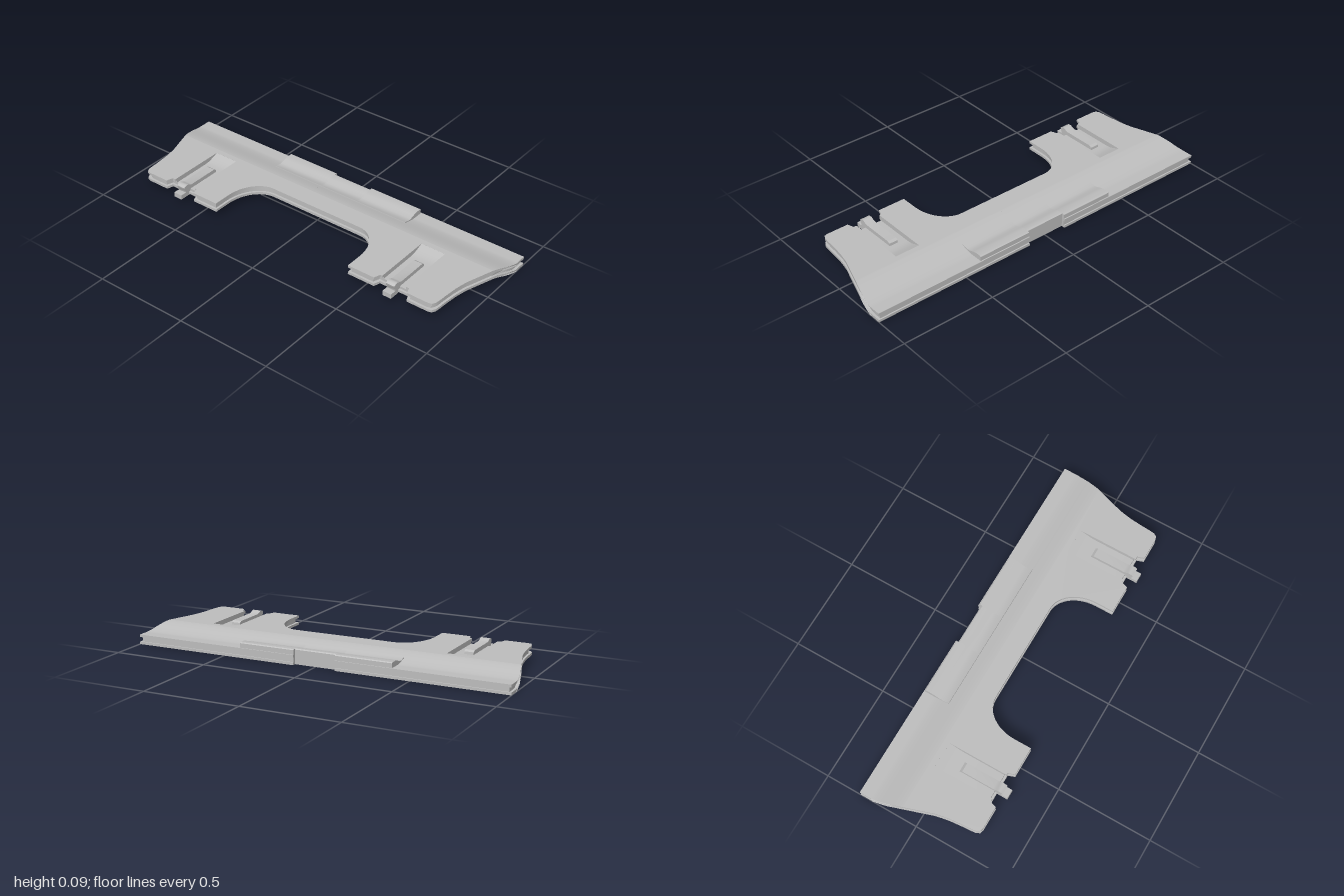
import * as THREE from 'three';
import { toCreasedNormals } from 'three/addons/utils/BufferGeometryUtils.js';

const grey = new THREE.MeshStandardMaterial({ color: 0xbebebe });
grey.name = 'light grey';

const SEAM = -0.09, FRONT = 0.293, BACK = -0.312, LIFT = 0.034;

// Outer side edge: half width at depth z
const edge = [[-0.32, 1], [-0.24, 1], [-0.17, 0.988], [-0.1, 0.969], [0, 0.936], [0.06, 0.916], [0.12, 0.904], [0.2, 0.896], [0.27, 0.892]];
function halfWidth(z) {
  for (let i = 1; i < edge.length; i++) {
    const [z0, x0] = edge[i - 1], [z1, x1] = edge[i];
    if (z <= z1) return x0 + (x1 - x0) * (z - z0) / (z1 - z0);
  }
  return edge[edge.length - 1][1];
}

// Height of the underside: flat in front, stepping down to the back
function rise(z) {
  const t = THREE.MathUtils.clamp((z + 0.245) / 0.155, 0, 1);
  return LIFT * (0.55 * t * t * (3 - 2 * t) + 0.45 * t);
}

function mesh(geometry, name) {
  const m = new THREE.Mesh(toCreasedNormals(geometry, 0.55), grey);
  m.name = name;
  return m;
}

// Side profile of [z, y] points, swept across x from xa(z) to xb(z)
function sweep(points, xa, xb, name) {
  const shape = new THREE.Shape(points.map(([z, y]) => new THREE.Vector2(-z, y)));
  const g = new THREE.ExtrudeGeometry(shape, { depth: 1, bevelEnabled: false });
  const p = g.attributes.position;
  for (let i = 0; i < p.count; i++) {
    const z = -p.getX(i), y = p.getY(i), w = p.getZ(i);
    p.setXYZ(i, xa(z) + (xb(z) - xa(z)) * w, y, z);
  }
  return mesh(g, name);
}
const bar = (points, x0, x1, name) => sweep(points, () => x0, () => x1, name);

// Flat front part of one layer, with arch, latch notches and optional channels
function frontSlab(y0, y1, d, channel, name) {
  const half = [];
  for (let i = 0; i <= 12; i++) {
    const a = i / 12 * Math.PI / 2;
    half.push([0.27 + (0.14 + d) * Math.sin(a), 0.2 - (0.185 + d) * Math.cos(a)]);
  }
  half.push([0.41 + d, FRONT - d], [0.56 - d, FRONT - d], [0.572 - d, 0.258 - d]);
  if (channel) half.push([0.583, 0.258 - d], [0.583, -0.06], [0.717, -0.06], [0.717, 0.258 - d]);
  half.push([0.733 + d, 0.258 - d], [0.745 + d, FRONT - d], [0.862 - d, FRONT - d],
    [0.88 - d, 0.288 - d], [0.89 - d, 0.27 - d]);
  for (let i = 0; i <= 9; i++) {
    const z = 0.24 + (SEAM - 0.24) * i / 9;
    half.push([halfWidth(z) - d, z]);
  }
  const all = [...half.map(([x, z]) => [-x, z]).reverse(), ...half];
  const shape = new THREE.Shape(all.map(([x, z]) => new THREE.Vector2(x, -z)));
  const g = new THREE.ExtrudeGeometry(shape, { depth: y1 - y0, bevelEnabled: false });
  g.rotateX(-Math.PI / 2).translate(0, LIFT + y0, 0);
  return mesh(g, name);
}

// Bent rear part of one layer between two x edges
function rearSlab(y0, y1, zEnd, xa, xb, name) {
  const top = [], bottom = [];
  for (let i = 0; i <= 20; i++) {
    const z = SEAM + (zEnd - SEAM) * i / 20;
    top.push([z, rise(z) + y1]);
    bottom.unshift([z, rise(z) + y0]);
  }
  return sweep([...top, ...bottom], xa, xb, name);
}

function addLayer(group, y0, y1, d, channel, name) {
  group.add(frontSlab(y0, y1, d, channel, name + 'Front'));
  const out = z => halfWidth(z) - d;
  group.add(rearSlab(y0, y1, BACK + d * 0.6, () => 0.112, out, name + 'RearLeft'));
  group.add(rearSlab(y0, y1, BACK + d * 0.6, z => -out(z), () => -0.112, name + 'RearRight'));
  group.add(rearSlab(y0, y1, -0.292, () => -0.112, () => 0.112, name + 'RearMiddle'));
}

function makeLatch(x) {
  const latch = new THREE.Group();
  latch.name = 'latch';
  // Sunken channel floor, ramping down from the back
  latch.add(bar([[-0.06, 0.0835], [-0.03, 0.072], [0.0, 0.062], [0.03, 0.059], [0.246, 0.059],
    [0.246, 0.046], [-0.06, 0.046]], x - 0.067, x + 0.067, 'channelFloor'));
  // Spring arm with rounded thumb catch
  latch.add(bar([[0.05, 0.055], [0.052, 0.072], [0.065, 0.08], [0.235, 0.08], [0.25, 0.085], [0.26, 0.0905],
    [0.27, 0.092], [0.282, 0.089], [0.29, 0.083], [0.288, 0.072], [0.281, 0.06], [0.28, 0.045],
    [0.24, 0.045], [0.24, 0.055]], x - 0.024, x + 0.024, 'springArm'));
  // Tongue sticking out in front
  latch.add(bar([[0.21, 0.028], [0.21, 0.05], [0.315, 0.053], [0.315, 0.028]],
    x - 0.024, x + 0.024, 'tongue'));
  return latch;
}

export function createModel() {
  const model = new THREE.Group();
  model.name = 'plate';

  // Two thin skins with a recessed core between them
  addLayer(model, 0, 0.013, 0, false, 'lowerSkin');
  addLayer(model, 0.013, 0.037, 0.012, true, 'core');
  addLayer(model, 0.037, 0.05, 0, true, 'upperSkin');

  // Raised grip along the back edge, notched in the middle
  const grip = end => [[-0.168, 0.06], [-0.17, 0.0715], [-0.2, 0.062], [-0.22, 0.063], [-0.245, 0.071], [-0.268, 0.077],
    [end + 0.006, 0.077], [end, 0.073], [end, 0.045], [-0.24, 0.045]];
  model.add(bar(grip(-0.306), 0.112, 0.41, 'gripLeft'));
  model.add(bar(grip(-0.306), -0.41, -0.112, 'gripRight'));
  model.add(bar(grip(-0.292), -0.112, 0.112, 'gripMiddle'));

  for (const s of [-1, 1]) model.add(makeLatch(s * 0.65));
  return model;
}
